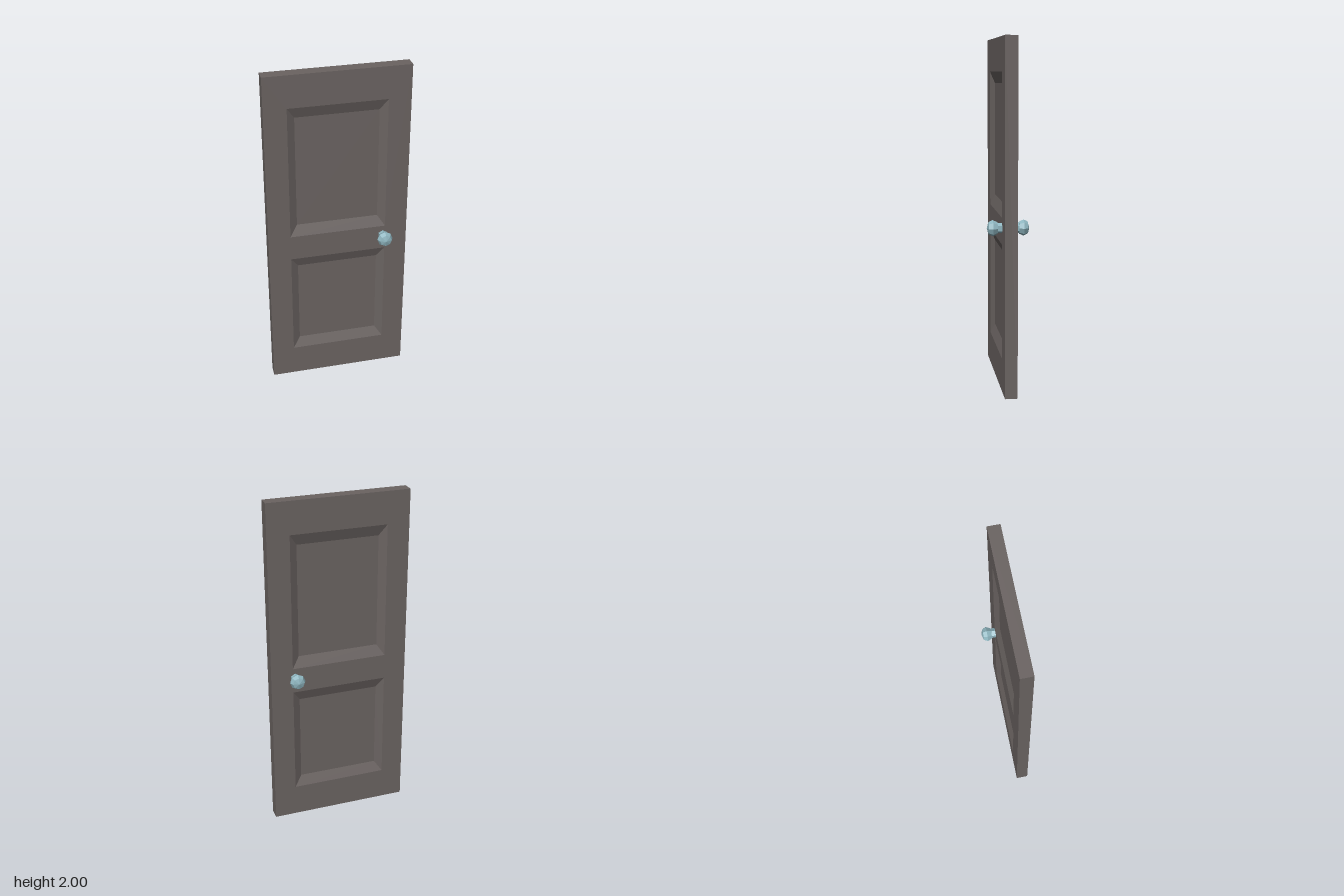
import * as THREE from 'three';

const W = 0.413, H = 2, T = 0.0355; // half width, height, half thickness
const RECESS = 0.024;
const PANELS = [ // outer and inner half widths, then outer and inner heights
  { xo: 0.283, xi: 0.239, y0: 1.004, y1: 1.81, b: 0.066 },
  { xo: 0.283, xi: 0.239, y0: 0.193, y1: 0.852, b: 0.064 },
];

// Four counter-clockwise corners of an upright rectangle
const rect = (w, y0, y1, z) => [[-w, y0, z], [w, y0, z], [w, y1, z], [-w, y1, z]];

// Flat-shaded geometry from quads
function quads(list) {
  const pos = [];
  for (const [a, b, c, d] of list) pos.push(...a, ...b, ...c, ...a, ...c, ...d);
  const g = new THREE.BufferGeometry();
  g.setAttribute('position', new THREE.Float32BufferAttribute(pos, 3));
  g.computeVertexNormals();
  return g;
}

// Strip of quads joining two four-cornered loops
const bridge = (p, q) => p.map((_, i) => {
  const j = (i + 1) % 4;
  return [p[i], p[j], q[j], q[i]];
});

function flat(geometry) {
  const g = geometry.toNonIndexed();
  g.computeVertexNormals();
  return g;
}

function addMesh(parent, name, geometry, material) {
  const mesh = new THREE.Mesh(geometry, material);
  mesh.name = name;
  parent.add(mesh);
  return mesh;
}

// One face of the door: flat frame with two bevelled, sunken panels
function doorSide(material) {
  const side = new THREE.Group();
  const toPath = (p) => p.map(([x, y]) => new THREE.Vector2(x, y));
  const shape = new THREE.Shape(toPath(rect(W, 0, H, 0)));
  for (const { xo, xi, y0, y1, b } of PANELS) {
    const outer = rect(xo, y0, y1, T);
    const inner = rect(xi, y0 + b, y1 - b, T - RECESS);
    shape.holes.push(new THREE.Path(toPath(outer).reverse()));
    addMesh(side, 'sunkenPanel', quads([...bridge(outer, inner), inner]), material);
  }
  addMesh(side, 'frameFace', new THREE.ShapeGeometry(shape).translate(0, 0, T), material);
  return side;
}

// Hexagonal stem and faceted knob pointing along +z
function handle(material) {
  const group = new THREE.Group();
  const stem = new THREE.CylinderGeometry(0.029, 0.029, 0.035, 6, 1, true);
  stem.translate(0, T + 0.0145, 0).rotateX(Math.PI / 2);
  addMesh(group, 'stem', flat(stem), material);
  const profile = [[0, 0.058], [0.034, 0.061], [0.046, 0.087], [0.035, 0.11], [0, 0.12]]
    .map(([r, h]) => new THREE.Vector2(r, h));
  const knob = new THREE.LatheGeometry(profile, 8).rotateX(Math.PI / 2);
  addMesh(group, 'knob', flat(knob), material);
  return group;
}

export function createModel() {
  const paint = new THREE.MeshStandardMaterial({ color: 0x6a6361 });
  paint.name = 'greyBrownPaint';
  const metal = new THREE.MeshStandardMaterial({ color: 0x8fb6c0 });
  metal.name = 'paleBlueMetal';

  const model = new THREE.Group();
  model.name = 'door';

  // Outer edges of the slab
  addMesh(model, 'slabEdges', quads(bridge(rect(W, 0, H, -T), rect(W, 0, H, T))), paint);

  // Front and back are alike, turned half a circle
  for (const [name, turn] of [['front', 0], ['back', Math.PI]]) {
    const side = doorSide(paint);
    side.name = name + 'Side';
    side.rotation.y = turn;
    const grip = handle(metal);
    grip.name = name + 'Handle';
    grip.position.set(0.27, 0.945, 0);
    grip.rotation.y = turn;
    model.add(side, grip);
  }
  return model;
}
